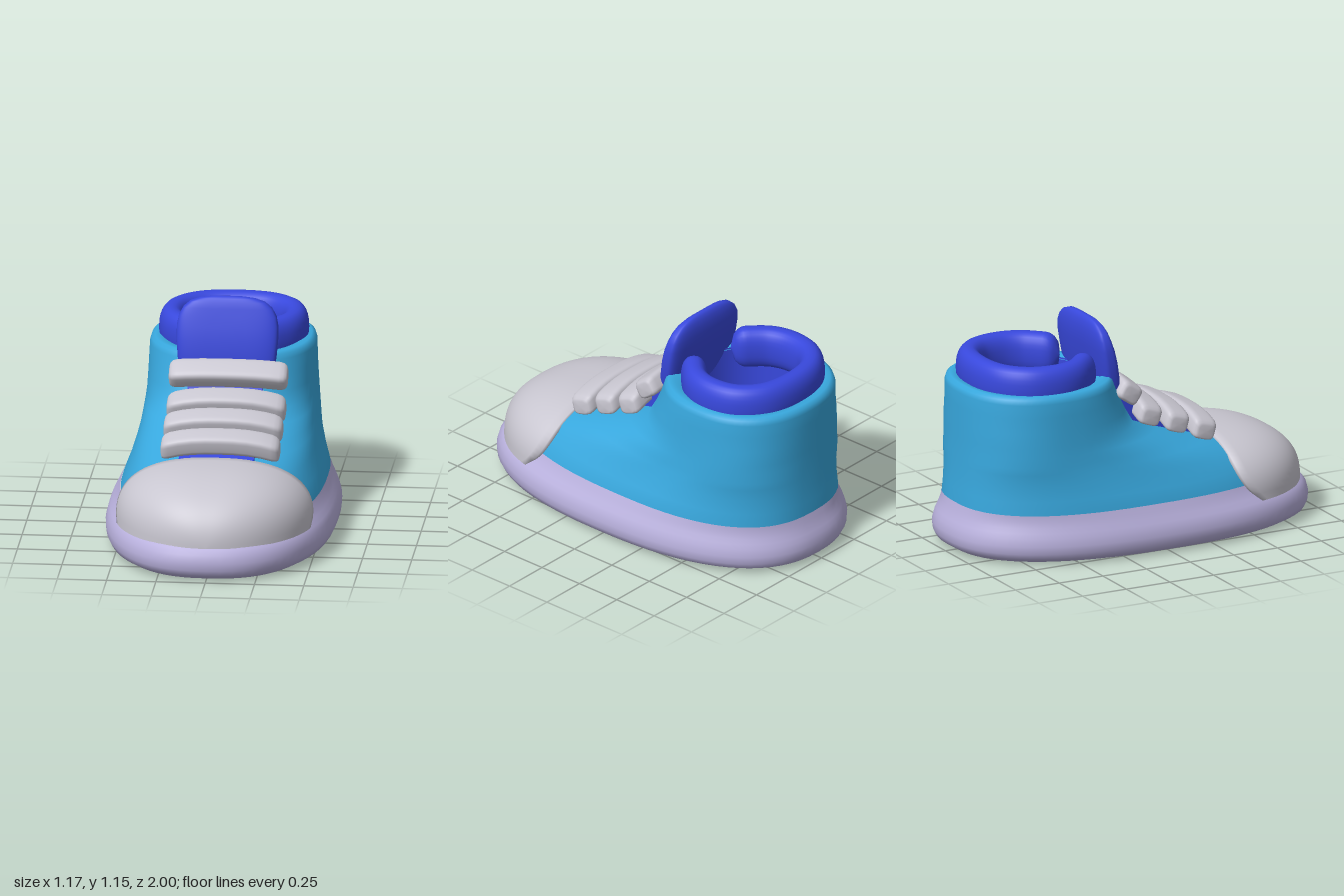
import * as THREE from 'three';

const mat = (name, color) => Object.assign(new THREE.MeshStandardMaterial({ color }), { name });

// signed power, for superellipse sections
const sp = (v, e) => Math.sign(v) * Math.pow(Math.abs(v), e);

// skin over rows of points; rows run counter-clockwise about the direction of travel
function loft(rows, closed = true) {
  const n = rows[0].length, index = [];
  for (let i = 0; i < rows.length - 1; i++) {
    for (let j = 0; j < (closed ? n : n - 1); j++) {
      const k = (j + 1) % n;
      const a = i * n + j, b = i * n + k, c = (i + 1) * n + k, d = (i + 1) * n + j;
      index.push(a, b, c, a, c, d);
    }
  }
  const g = new THREE.BufferGeometry().setFromPoints(rows.flat());
  g.setIndex(index);
  g.computeVertexNormals();
  return g;
}

// horizontal egg: half width, back z, front z, z of the widest place, exponent
function egg(y, hw, back, front, mid, n = 2.4, count = 72) {
  const ring = [];
  for (let j = 0; j < count; j++) {
    const a = (j / count) * Math.PI * 2;
    const c = sp(Math.cos(a), 2 / n), s = sp(Math.sin(a), 2 / n);
    ring.push(new THREE.Vector3(hw * s, y, mid + c * (c > 0 ? front - mid : mid - back)));
  }
  return ring;
}

const eggLoft = (table) => loft(table.map((r) => egg(...r)));

// rounded toe cap, swept from its back edge to the tip
function toeCapGeometry() {
  const rows = [], steps = 22, arc = 40, base = 0.17;
  for (let i = -1; i <= steps; i++) {
    const u = Math.max(i, 0) / steps, t = 1 - (1 - u) ** 2;
    const lip = i < 0 ? 0.93 : 1;
    const row = [];
    for (let j = 0; j <= arc; j++) {
      const a = (j / arc) * Math.PI;
      const cx = sp(Math.cos(a), 0.8), cy = Math.pow(Math.max(Math.sin(a), 0), 0.8);
      const back = 0.415 + 0.14 * (1 - cy) ** 3;
      const z = THREE.MathUtils.lerp(back, 0.968, t);
      const q = Math.min((z - 0.415) / 0.553, 1);
      const w = 0.508 * Math.sqrt(1 - q * q);
      const h = 0.315 * Math.pow(1 - Math.pow(q, 2.6), 0.4545);
      row.push(new THREE.Vector3(cx * w * lip, base + cy * h * lip, z));
    }
    rows.push(row);
  }
  return loft(rows, false);
}

// padded strap whose ends bend down
function strapGeometry(drop) {
  const ends = [[0.3, 0], [0.3, 0.6], [0.295, 0.8], [0.282, 0.94], [0.26, 1], [0.21, 1], [0.14, 1], [0.07, 1]];
  const stations = [
    ...ends.map(([x, s]) => [-x, s]), [0, 1],
    ...ends.slice().reverse().map(([x, s]) => [x, s]),
  ];
  return loft(stations.map(([x, s]) => {
    const ring = [], sag = drop * Math.pow(Math.abs(x) / 0.3, 2.6);
    for (let j = 0; j < 32; j++) {
      const a = (j / 32) * Math.PI * 2;
      ring.push(new THREE.Vector3(x, 0.052 * s * sp(Math.cos(a), 0.5) - sag, 0.066 * s * sp(Math.sin(a), 0.5)));
    }
    return ring;
  }));
}

// padded collar, open at the front
function collarGeometry() {
  const half = [[0.14, -0.27], [0.215, -0.335], [0.285, -0.42], [0.313, -0.53], [0.285, -0.67], [0.18, -0.77]];
  const pts = [...half, [0, -0.803], ...half.slice().reverse().map(([x, z]) => [-x, z])];
  const curve = new THREE.CatmullRomCurve3(pts.map(([x, z]) => new THREE.Vector3(x, 0.89, z)));
  const up = new THREE.Vector3(0, 1, 0), rows = [], steps = 80;
  for (let i = 0; i <= steps; i++) {
    const u = i / steps, p = curve.getPointAt(u);
    const side = curve.getTangentAt(u).cross(up).normalize();
    const e = Math.min(1, Math.min(i, steps - i) / 4);
    const s = Math.sqrt(1 - (1 - e) ** 2);
    const row = [];
    for (let j = 0; j < 28; j++) {
      const a = (j / 28) * Math.PI * 2;
      row.push(p.clone()
        .addScaledVector(up, 0.11 * s * sp(Math.cos(a), 0.85))
        .addScaledVector(side, 0.066 * s * sp(Math.sin(a), 0.85)));
    }
    rows.push(row);
  }
  return loft(rows);
}

// strip of padding under the straps
function throatGeometry() {
  const top = [[0.46, 0.462], [0.3, 0.512], [0.14, 0.562], [0.01, 0.612], [-0.04, 0.7], [-0.1, 0.84]];
  const low = top.map(([z, y]) => [z - 0.03, y - 0.04]).reverse();
  const shape = new THREE.Shape([...top, ...low].map(([z, y]) => new THREE.Vector2(z, y)));
  const g = new THREE.ExtrudeGeometry(shape, { depth: 0.38, bevelEnabled: false });
  return g.rotateY(-Math.PI / 2).translate(0.19, 0, 0);
}

export function createModel() {
  const model = new THREE.Group();
  model.name = 'sneaker';
  const lavender = mat('lavender rubber', 0xb8b0dc);
  const sky = mat('sky blue fabric', 0x38a8de);
  const royal = mat('royal blue padding', 0x3848dc);
  const grey = mat('pale grey', 0xc8c6d0);

  const add = (name, geometry, material) => {
    const mesh = new THREE.Mesh(geometry, material);
    mesh.name = name;
    model.add(mesh);
    return mesh;
  };

  add('sole', eggLoft([
    [0, 0, 0, 0, 0],
    [0, 0.49, -0.9, 0.9, 0],
    [0.008, 0.53, -0.945, 0.945, 0],
    [0.03, 0.568, -0.982, 0.982, 0],
    [0.06, 0.582, -0.997, 0.997, 0],
    [0.1, 0.585, -1, 1, 0],
    [0.14, 0.574, -0.99, 0.99, 0],
    [0.165, 0.562, -0.978, 0.97, -0.02],
    [0.19, 0.547, -0.967, 0.935, -0.05],
    [0.22, 0.532, -0.956, 0.89, -0.08],
    [0.252, 0.518, -0.947, 0.85, -0.1, 2.5],
  ]), lavender);

  // outer shell with a rolled rim at the ankle
  add('upper', eggLoft([
    [0.2, 0.516, -0.945, 0.85, -0.1, 2.5],
    [0.252, 0.516, -0.945, 0.85, -0.1, 2.5],
    [0.32, 0.488, -0.938, 0.79, -0.2, 2.5],
    [0.4, 0.463, -0.934, 0.7, -0.3, 2.5],
    [0.46, 0.449, -0.932, 0.43, -0.4, 2.5],
    [0.5, 0.443, -0.931, 0.3, -0.44, 2.5],
    [0.55, 0.437, -0.93, 0.14, -0.48, 2.4],
    [0.6, 0.432, -0.93, 0, -0.5, 2.4],
    [0.68, 0.427, -0.93, -0.05, -0.5, 2.4],
    [0.76, 0.424, -0.93, -0.085, -0.51, 2.3],
    [0.83, 0.421, -0.93, -0.11, -0.52, 2.3],
    [0.855, 0.413, -0.923, -0.118, -0.52, 2.3],
    [0.868, 0.395, -0.905, -0.13, -0.52, 2.3],
    [0.868, 0.36, -0.88, -0.16, -0.52, 2.3],
    [0.85, 0.32, -0.84, -0.2, -0.52, 2.3],
  ]), sky);

  // inner wall faces the foot
  add('lining', eggLoft([
    [0.86, 0.32, -0.83, -0.2, -0.52],
    [0.5, 0.32, -0.83, -0.2, -0.52],
    [0.2, 0.32, -0.83, -0.2, -0.52],
  ]), royal);
  add('insole', eggLoft([
    [0.24, 0.33, -0.84, -0.19, -0.52],
    [0.24, 0, -0.52, -0.52, -0.52],
  ]), lavender);

  add('collar', collarGeometry(), royal);
  add('throat', throatGeometry(), royal);

  // tongue: height, half width, z centre, half thickness
  const tongue = [
    [0.6, 0.2, -0.13, 0.04], [0.84, 0.25, -0.165, 0.058], [0.93, 0.257, -0.18, 0.057],
    [1.0, 0.257, -0.194, 0.053], [1.05, 0.247, -0.204, 0.046], [1.09, 0.225, -0.209, 0.039],
    [1.12, 0.19, -0.212, 0.03], [1.138, 0.14, -0.213, 0.02], [1.146, 0.08, -0.214, 0.01], [1.147, 0, -0.214, 0],
  ];
  add('tongue', eggLoft(tongue.map(([y, w, z, t]) => [y, w, z - t, z + t, z, 3.6])), royal);

  const cap = toeCapGeometry();
  add('toeCap', cap, grey);

  // straps: z, y, tilt, sag of the ends
  [[0.352, 0.552, 0.28, 0.045], [0.198, 0.612, 0.3, 0.045], [0.043, 0.672, 0.34, 0.045], [-0.075, 0.785, 0.6, 0.02]]
    .forEach(([z, y, tilt, sag], i) => {
      const strap = add(`strap${i + 1}`, strapGeometry(sag), grey);
      strap.position.set(0.015, y, z);
      strap.rotation.x = tilt;
    });

  return model;
}
